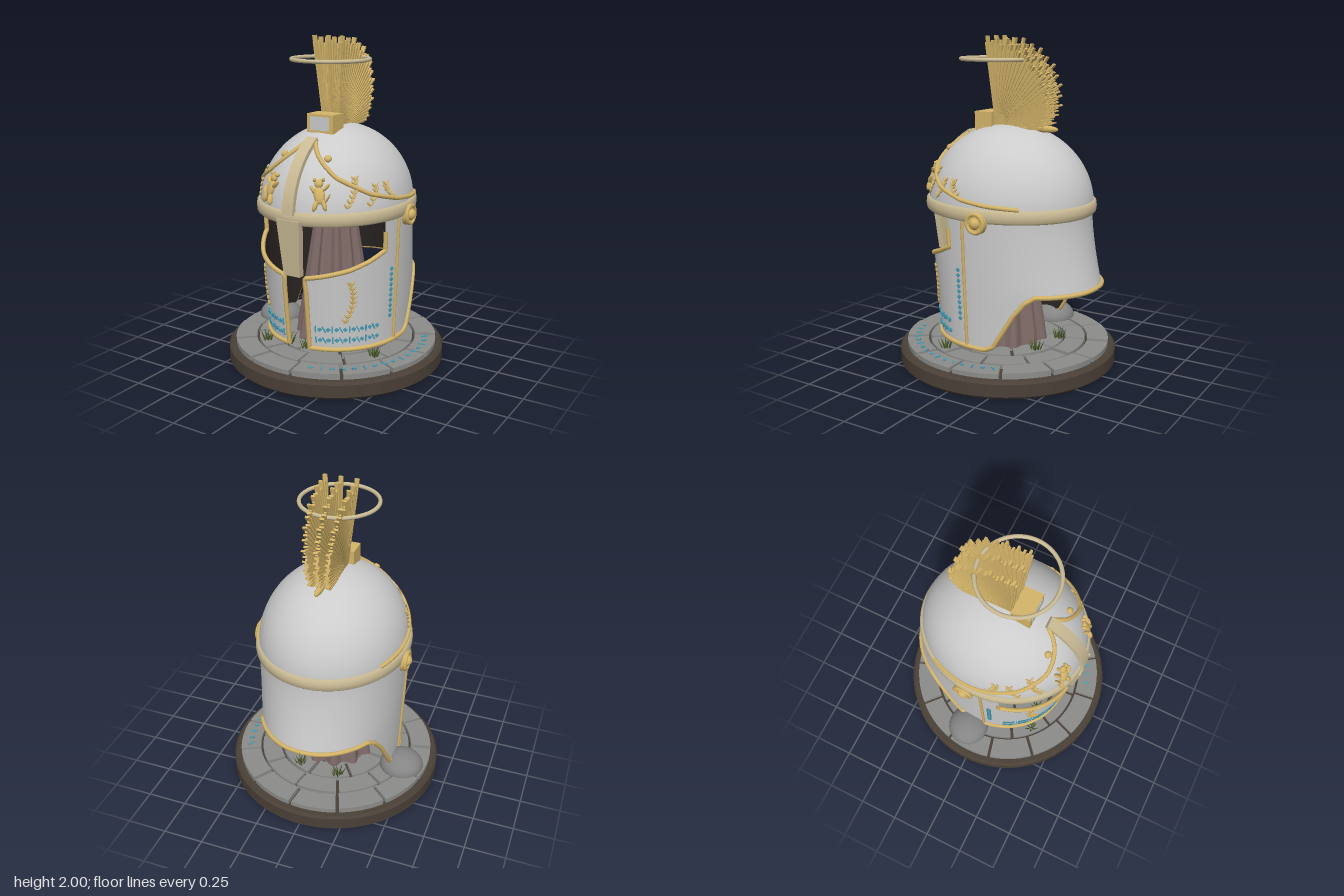
import * as THREE from 'three';

const mat = (color, side = THREE.FrontSide) => new THREE.MeshStandardMaterial({ color, side });
const grey = mat(0xcccccc), gold = mat(0xd4b469), cream = mat(0xcabb95), brown = mat(0x4a4037), stone = mat(0x8c8c8a);
const cloth = mat(0x806b68), blue = mat(0x4aa0b8), green = mat(0x4c5c2c), rockGrey = mat(0x858585);
const lining = mat(0x2a2524, THREE.BackSide);
const CZ = -0.02;

// Helmet surfaces: angle th from the front (+z), height y, offset outward
function wall(th, y, off = 0) {
  const t = (0.96 - y) / 0.76, c = Math.cos(th);
  const rz = c > 0 ? 0.515 - 0.08 * t : 0.51 + 0.075 * Math.pow(Math.min(Math.max(t, 0) / 0.55, 1), 1.5);
  return new THREE.Vector3((0.452 - 0.03 * t + off) * Math.sin(th), y, CZ + (rz + off) * c);
}
function dome(th, y, off = 0) {
  const s = Math.sqrt(Math.max(0, 1 - ((y - 1) / 0.48) ** 2));
  return new THREE.Vector3((0.45 + off) * s * Math.sin(th), y + off * (y - 1) * 2, CZ + (0.52 + off) * s * Math.cos(th));
}
const lerpTable = (pts, u) => {
  for (let i = 1; i < pts.length; i++) if (u <= pts[i][0]) {
    const [a, b] = [pts[i - 1], pts[i]];
    return a[1] + (b[1] - a[1]) * (u - a[0]) / (b[0] - a[0]);
  }
  return pts[pts.length - 1][1];
};
const HEM = [[0.17, 0.195], [1.71, 0.195], [1.8, 0.22], [1.886, 0.3], [2.015, 0.42], [2.135, 0.5], [2.24, 0.535], [Math.PI, 0.54]];
const EYE = [[0.17, 0.645], [0.45, 0.665], [0.75, 0.695], [1, 0.735], [1.24, 0.785]];

export function createModel() {
  const root = new THREE.Group();
  const group = (name, parent = root) => { const g = new THREE.Group(); g.name = name; parent.add(g); return g; };
  const add = (name, geo, m, parent = root) => {
    const o = new THREE.Mesh(geo, m); o.name = name; parent.add(o); return o;
  };
  // Grid on the wall between two height functions
  function patch(name, u0, u1, lo, hi, m, off) {
    const nu = 48, nv = 10, pos = [], idx = [];
    for (let i = 0; i <= nu; i++) for (let j = 0; j <= nv; j++) {
      const u = u0 + (u1 - u0) * i / nu, a = lo(Math.abs(u)), b = hi(Math.abs(u));
      pos.push(...wall(u, a + (b - a) * j / nv, off).toArray());
      if (i < nu && j < nv) {
        const k = i * (nv + 1) + j, r = k + nv + 1;
        idx.push(k, r, k + 1, r, r + 1, k + 1);
      }
    }
    const g = new THREE.BufferGeometry();
    g.setAttribute('position', new THREE.Float32BufferAttribute(pos, 3));
    g.setIndex(idx); g.computeVertexNormals();
    add(name, g, m);
  }
  // Round trim following a surface through [angle, height] points
  function trim(name, f, pts, s, r, m = gold, parent = root) {
    const path = [];
    pts.forEach((p, i) => {
      const q = pts[i + 1];
      for (let k = 0; k < (q ? 5 : 1); k++) {
        const t = k / 5;
        path.push(f(s * (q ? p[0] + (q[0] - p[0]) * t : p[0]), q ? p[1] + (q[1] - p[1]) * t : p[1], 0.004));
      }
    });
    add(name, new THREE.TubeGeometry(new THREE.CatmullRomCurve3(path), path.length * 3, r, 8), m, parent);
  }
  // Sets an object on a surface with its z axis pointing outward
  function seat(o, f, th, y, off = 0.005) {
    const e = 0.01, p = f(th, y, off);
    const n = f(th + e, y).sub(f(th - e, y)).cross(f(th, y + e).sub(f(th, y - e))).normalize();
    o.position.copy(p); o.lookAt(p.clone().add(n));
    return o;
  }
  const ball = new THREE.SphereGeometry(1, 12, 8);
  const blob = (name, parent, x, y, rx, ry, rz, rot = 0, m = gold) => {
    const o = add(name, ball, m, parent); o.position.set(x, y, 0); o.scale.set(rx, ry, rz); o.rotation.z = rot; return o;
  };

  // Round plinth
  add('plinth', new THREE.LatheGeometry([[0, 0], [0.66, 0], [0.66, 0], [0.675, 0.015], [0.675, 0.015], [0.675, 0.09], [0.675, 0.09], [0.66, 0.105],
    [0.66, 0.105], [0, 0.105]].map(p => new THREE.Vector2(...p)), 72), brown);
  // Paving in rings
  const paving = group('paving');
  [[0.5, 0.63, 13], [0.365, 0.485, 11], [0.22, 0.35, 8], [0.04, 0.205, 5]].forEach(([r0, r1, n], ring) => {
    for (let i = 0; i < n; i++) {
      const a = (i + ring * 0.4) / n * Math.PI * 2, b = a + Math.PI * 2 / n, s = new THREE.Shape();
      s.absarc(0, 0, r1, a + 0.01 / r1, b - 0.01 / r1, false);
      s.absarc(0, 0, r0, b - 0.01 / r0, a + 0.01 / r0, true);
      const g = new THREE.ExtrudeGeometry(s, { depth: 0.033 + 0.007 * ((i * 5 + ring) % 3) / 2, bevelEnabled: false, curveSegments: 8 });
      add('pavingStone', g.rotateX(-Math.PI / 2).translate(0, 0.1, 0), stone, paving);
    }
  });
  // Boulder and grass
  const boulder = add('boulder', new THREE.SphereGeometry(1, 24, 16), rockGrey);
  boulder.position.set(-0.475, 0.14, -0.07); boulder.scale.set(0.14, 0.095, 0.135);
  const grass = group('grass');
  [[-0.15, 0.3], [-0.02, 0.3], [0.39, 0.2], [0.14, -0.28], [-0.12, -0.3], [-0.3, 0.33]].forEach(([x, z], k) => {
    for (let i = 0; i < 12; i++) {
      const a = i * 2.4 + k, r = 0.012 * Math.sqrt(i);
      const b = add('blade', new THREE.ConeGeometry(0.006, 0.06 + 0.01 * (i % 3), 4), green, grass);
      b.position.set(x + r * Math.cos(a), 0.165, z + r * Math.sin(a));
      b.rotation.set(Math.sin(a) * 0.4, 0, -Math.cos(a) * 0.4);
    }
  });
  // Draped stand: folds deepen towards the floor
  const stand = new THREE.CylinderGeometry(0.125, 0.23, 0.74, 96, 12);
  const sp = stand.attributes.position;
  for (let i = 0; i < sp.count; i++) {
    const a = Math.atan2(sp.getX(i), sp.getZ(i)), k = 1 + 0.1 * Math.cos(11 * a);
    sp.setX(i, sp.getX(i) * k); sp.setZ(i, sp.getZ(i) * k);
  }
  stand.computeVertexNormals();
  add('drapedStand', stand.translate(0, 0.505, 0), cloth);

  // Skull dome with dark lining
  const half = s => new THREE.SphereGeometry(1, 64, 28, 0, Math.PI * 2, 0, Math.PI / 2).scale(0.45 * s, 0.48 * s, 0.52 * s).translate(0, 1, CZ);
  add('dome', half(1), grey);
  add('domeLining', half(0.975), lining);
  // Cheeks, neck guard and lining
  const hem = u => lerpTable(HEM, u), eye = u => lerpTable(EYE, u), top = () => 1.0;
  for (const [m, off, tag] of [[grey, 0, ''], [lining, -0.012, 'Lining']]) {
    patch('neckGuard' + tag, 1.24, Math.PI * 2 - 1.24, u => hem(Math.min(u, Math.PI * 2 - u)), top, m, off);
    patch('leftCheek' + tag, 0.17, 1.24, hem, eye, m, off);
    patch('rightCheek' + tag, -1.24, -0.17, hem, eye, m, off);
  }
  // Brow band
  const prof = [[0.94, 0.962], [1.01, 0.96], [1.035, 0.972], [1.042, 1], [1.035, 1.028], [1.01, 1.04], [0.94, 1.038], [0.94, 0.962]];
  add('browBand', new THREE.LatheGeometry(prof.map(p => new THREE.Vector2(...p)), 72).scale(0.452, 1, 0.515).translate(0, 0, CZ), cream);
  // Nose guard and ridge: boxes bent over the helmet
  function bent(name, f, y0, y1, w0, w1) {
    const g = new THREE.BoxGeometry(2, 1, 1, 4, 14, 1), p = g.attributes.position;
    for (let i = 0; i < p.count; i++) {
      const u = p.getY(i) + 0.5, v = f(0, y0 + (y1 - y0) * u, 0.005 + p.getZ(i) * 0.04);
      p.setXYZ(i, p.getX(i) * (w0 + (w1 - w0) * u), v.y, v.z);
    }
    g.computeVertexNormals();
    add(name, g, cream);
  }
  bent('noseGuard', wall, 0.65, 0.99, 0.055, 0.078);
  bent('domeRidge', dome, 1.02, 1.41, 0.038, 0.036);

  // Ornament for each side
  const diamond = new THREE.CylinderGeometry(0.014, 0.014, 0.008, 4).rotateX(Math.PI / 2);
  const bar = new THREE.BoxGeometry(0.007, 0.042, 0.008);
  for (const s of [1, -1]) {
    const side = group(s > 0 ? 'leftOrnament' : 'rightOrnament');
    trim('cheekTrim', wall, [[0.17, 0.195], [0.17, 0.64], ...EYE.slice(1), [1.24, 0.9]], s, 0.014, gold, side);
    trim('hemTrim', wall, HEM, s, 0.014, gold, side);
    trim('sideSeam', wall, [[1.47, 0.2], [1.47, 0.96]], s, 0.01, gold, side);
    trim('browTrim', dome, [[0.12, 1.4], [0.28, 1.34], [0.6, 1.23], [1.05, 1.13], [1.44, 1.08], [1.75, 1.06], [2.15, 1.045]], s, 0.013, gold, side);
    // Ear boss
    const boss = seat(group('earBoss', side), wall, s * 1.67, 0.96, 0.015);
    boss.lookAt(boss.position.x + s, boss.position.y, boss.position.z);
    add('bossDisc', new THREE.CylinderGeometry(0.062, 0.066, 0.03, 32).rotateX(Math.PI / 2), gold, boss);
    add('bossRing', new THREE.TorusGeometry(0.054, 0.012, 8, 32).translate(0, 0, 0.012), gold, boss);
    blob('bossStud', boss, 0, 0, 0.034, 0.034, 0.03).position.z = 0.012;
    // Rearing beast relief
    const beast = seat(group('beastRelief', side), dome, s * 0.39, 1.14);
    [[0, 0, 0.032, 0.052, 0.2], [-0.005, 0.065, 0.026, 0.025, 0], [-0.03, 0.085, 0.01, 0.012, 0], [0.02, 0.088, 0.01, 0.012, 0],
      [0.038, 0.045, 0.01, 0.03, -0.7], [-0.038, 0.03, 0.01, 0.028, 0.6], [0.03, -0.055, 0.014, 0.034, 0.3],
      [-0.022, -0.06, 0.014, 0.034, -0.3], [0.045, -0.02, 0.006, 0.035, -0.5]]
      .forEach(([x, y, rx, ry, r]) => blob('beastPart', beast, x * s, y, rx, ry, 0.018, r * s));
    blob('stud', seat(group('browStud', side), dome, s * 0.46, 1.325), 0, 0, 0.022, 0.022, 0.018);
    // Laurel sprigs: surface, start, end, bend, leaf pairs
    [[wall, 0.66, 0.36, 0.75, 0.62, -0.12, 9], [dome, 0.72, 1.06, 0.85, 1.23, -0.06, 7],
      [dome, 1.0, 1.06, 1.12, 1.18, -0.06, 5], [dome, 1.4, 1.09, 1.3, 1.18, 0.08, 5]].forEach(([f, a0, y0, a1, y1, bend, n]) => {
      const sprig = group('laurelSprig', side), at = t => [a0 + (a1 - a0) * t - bend * Math.sin(t * Math.PI) * 0.7, y0 + (y1 - y0) * t];
      trim('stem', f, [0, 0.25, 0.5, 0.75, 1].map(at), s, 0.004, gold, sprig);
      for (let i = 0; i < n; i++) for (const k of [-1, 1]) {
        const [a, y] = at((i + 0.5) / n);
        blob('leaf', seat(group('leafSeat', sprig), f, s * a, y), k * 0.012, 0.008, 0.006, 0.017, 0.006, -k * 0.6);
      }
    });
    // Inlaid geometric pattern on the cheek
    const inlay = group('inlay', side);
    for (let r = 0; r < 2; r++) for (let i = 0; i < 16; i++) {
      const o = seat(add('inlayMark', i % 2 ? diamond : bar, blue, inlay), wall, s * (0.27 + i * 0.058), 0.255 + r * 0.068, 0.003);
      if (i % 4 === 2) o.rotateZ(0.5);
    }
    for (let i = 0; i < 10; i++) seat(add('inlayDiamond', diamond, blue, inlay), wall, s * 1.37, 0.36 + i * 0.033, 0.003);
  }
  // Inlay along the paving rim
  const arc = group('pavingInlay');
  for (let i = 0; i < 16; i++) {
    const a = -0.4 + i * 0.112, o = add('inlayMark', i % 2 ? diamond : bar, blue, arc);
    o.position.set(0.565 * Math.cos(a), 0.141, 0.565 * Math.sin(a));
    o.rotation.set(-Math.PI / 2, 0, -a - Math.PI / 2 + (i % 4 ? 0 : 0.6));
  }

  // Crest socket
  add('crestSocket', new THREE.BoxGeometry(0.18, 0.11, 0.12).translate(0, 1.495, 0.12), gold);
  add('socketPanel', new THREE.BoxGeometry(0.13, 0.08, 0.01).translate(0, 1.495, 0.178), grey);
  // Three feather fans
  const feather = new THREE.BoxGeometry(1, 1, 1).translate(0, 0.5, 0), fp = feather.attributes.position;
  for (let i = 0; i < fp.count; i++) if (fp.getY(i) < 0.5) { fp.setX(i, fp.getX(i) * 0.6); fp.setZ(i, fp.getZ(i) * 0.3); }
  feather.computeVertexNormals();
  for (const k of [-1, 0, 1]) {
    const fan = group('featherFan');
    fan.position.set(k * 0.05, 1.46, 0.05); fan.rotation.z = -k * 0.085;
    const n = 26;
    for (let i = 0; i < n; i++) {
      const t = i / (n - 1), len = (0.54 - 0.21 * t * t) * [1, 0.95, 0.98, 0.92][i % 4];
      for (const [l, w, d] of [[0.93, 0.036, 0.014], [1, 0.014, 0.026]]) {
        const o = add('feather', feather, gold, fan);
        o.scale.set(d, len * l, w * (1 - 0.3 * t)); o.rotation.x = 0.06 - t * 1.6;
      }
    }
  }
  const tail = add('crestTail', ball, gold);
  tail.position.set(0, 1.46, -0.26); tail.scale.set(0.02, 0.022, 0.085);
  // Floating ring
  add('halo', new THREE.TorusGeometry(0.23, 0.012, 10, 64).rotateX(Math.PI / 2).translate(0, 1.862, 0.06), cream);
  return root;
}
